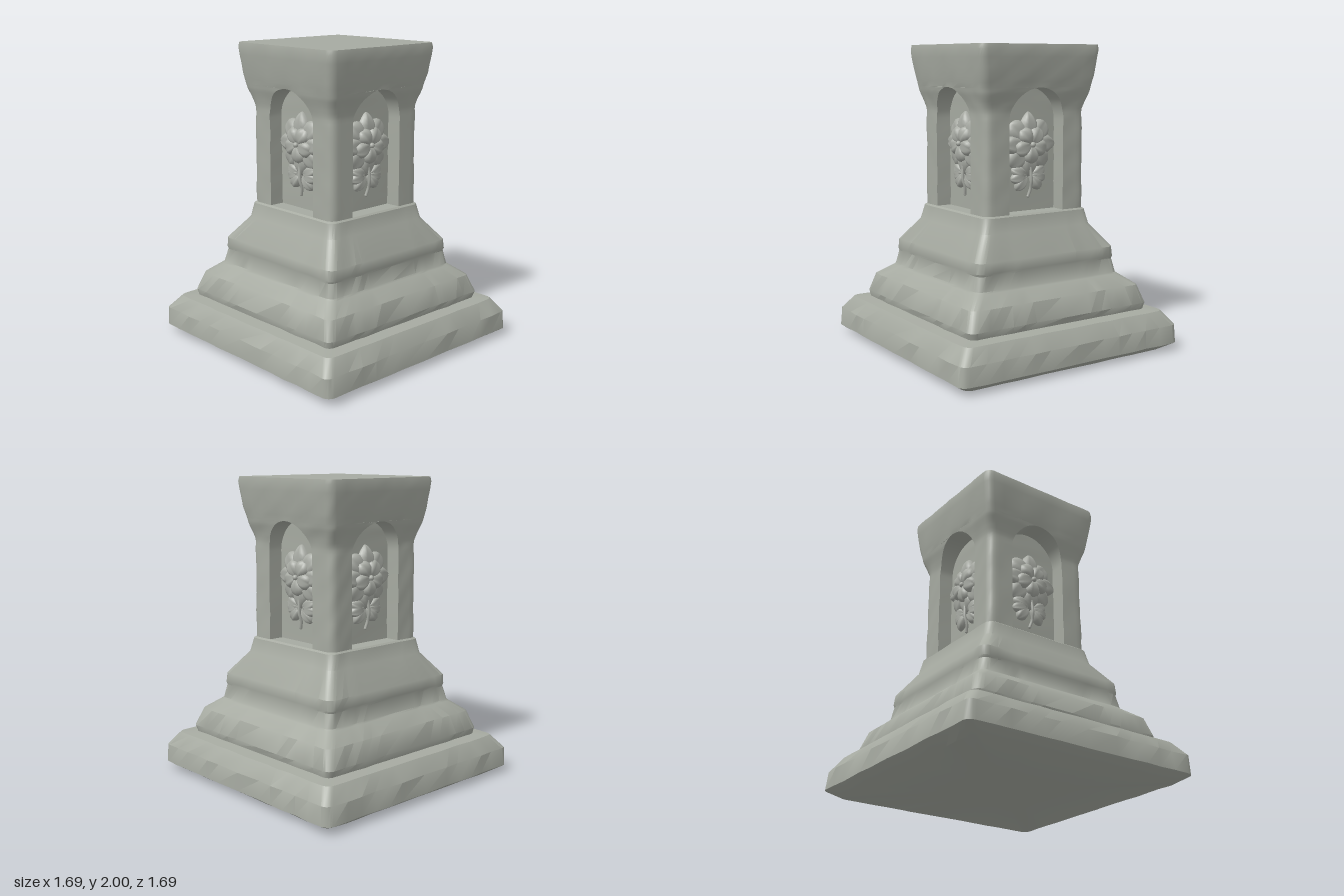
import * as THREE from 'three';
import { toCreasedNormals, mergeVertices } from 'three/addons/utils/BufferGeometryUtils.js';

const stone = new THREE.MeshStandardMaterial({ color: 0xa6aaa1 });
const carving = new THREE.MeshStandardMaterial({ color: 0xa9aca5 });

const NICHE = { w: 0.21, floor: 0.935, spring: 1.52, back: 0.285 };

// Half width of the square body at each height: [y, half width]
const foot = [[0, 0.76], [0.05, 0.84], [0.17, 0.832], [0.26, 0.765], [0.268, 0.68], [0.31, 0.69],
  [0.43, 0.65], [0.5, 0.56], [0.51, 0.55], [0.6, 0.53], [0.615, 0.535], [0.68, 0.53],
  [0.83, 0.42], [0.925, 0.4], [0.935, 0.387]];
const shaft = [[0.935, 0.387], [1.58, 0.385], [1.64, 0.4], [1.7, 0.42], [1.8, 0.44], [1.92, 0.456], [1.97, 0.46], [2, 0.455]];

function halfWidth(y) {
  const i = Math.max(1, shaft.findIndex(p => p[0] >= y));
  const [y0, h0] = shaft[i - 1], [y1, h1] = shaft[i];
  return h0 + (h1 - h0) * (y - y0) / (y1 - y0);
}

// Rows of the body: y, half width h, niche half width w, niche back plane
function bodyRows() {
  const rows = foot.map(([y, h]) => ({ y, h, w: NICHE.w, back: h }));
  const niche = (y, w) => rows.push({ y, h: halfWidth(y), w, back: NICHE.back });
  for (let i = 0; i <= 10; i++) niche(NICHE.floor + (NICHE.spring - NICHE.floor) * i / 10, NICHE.w);
  for (let i = 1; i <= 14; i++) {
    const a = i / 14 * Math.PI / 2;
    niche(NICHE.spring + NICHE.w * Math.sin(a), NICHE.w * Math.cos(a));
  }
  for (const y of [1.73, 1.765, 1.8, 1.86, 1.92, 1.97, 2]) {
    rows.push({ y, h: halfWidth(y), w: 0, back: halfWidth(y) });
  }
  return rows;
}

// Rounded square cross-section with a niche notch in each side
function section({ h, w, back }) {
  const r = 0.05, n = 5, quarter = [[0, back], [w, back], [w, h]];
  for (let i = 1; i < n; i++) quarter.push([w + (h - r - w) * i / n, h]);
  for (let i = 0; i <= 4; i++) {
    const a = i / 4 * Math.PI / 2;
    quarter.push([h - r + r * Math.sin(a), h - r + r * Math.cos(a)]);
  }
  for (let i = n - 1; i >= 0; i--) quarter.push([h, w + (h - r - w) * i / n]);
  quarter.push([back, w]);
  const ring = [];
  let turn = quarter;
  for (let q = 0; q < 4; q++) {
    ring.push(...turn);
    turn = turn.map(([x, z]) => [z, -x]);
  }
  return ring;
}

// Slight weathering of the stone
function worn(x, y, z) {
  const s = 1 + 0.005 * Math.sin(17 * x + 9 * y + 2) * Math.sin(19 * z - 7 * y)
    + 0.003 * Math.sin(41 * x + 23 * z + 31 * y);
  return [x * s, y, z * s];
}

function bodyGeometry() {
  const rows = bodyRows(), pos = [], index = [];
  let count = 0;
  for (const row of rows) {
    const ring = section(row);
    count = ring.length;
    for (const [x, z] of ring) pos.push(...worn(x, row.y, z));
  }
  for (let j = 0; j < rows.length - 1; j++) {
    for (let i = 0; i < count; i++) {
      const a = j * count + i, b = j * count + (i + 1) % count;
      index.push(a, b, b + count, a, b + count, a + count);
    }
  }
  // Caps
  const bottom = pos.length / 3, top = bottom + 1, last = (rows.length - 1) * count;
  pos.push(0, 0, 0, 0, 2, 0);
  for (let i = 0; i < count; i++) {
    const k = (i + 1) % count;
    index.push(bottom, k, i, top, last + i, last + k);
  }
  // Drop collapsed triangles
  const p = i => new THREE.Vector3().fromArray(pos, i * 3), kept = [];
  for (let i = 0; i < index.length; i += 3) {
    const t = index.slice(i, i + 3);
    if (new THREE.Triangle(...t.map(p)).getArea() > 1e-8) kept.push(...t);
  }
  const g = new THREE.BufferGeometry();
  g.setAttribute('position', new THREE.Float32BufferAttribute(pos, 3));
  g.setIndex(kept);
  return toCreasedNormals(mergeVertices(g, 1e-5), 0.6);
}

// Domed petal from its root at the origin to a tip on +y, with a centre groove
function petalGeometry(length, width, height, point) {
  const g = new THREE.SphereGeometry(1, 16, 12);
  const p = g.attributes.position;
  for (let i = 0; i < p.count; i++) {
    const x = p.getX(i), y = p.getY(i), z = p.getZ(i);
    const t = (y + 1) / 2;
    const taper = (0.55 + 0.75 * t) * (1 - point * Math.max(0, t - 0.6) * 2);
    const groove = 1 - 0.3 * Math.exp(-x * x * 30);
    p.setXYZ(i, x * width / 2 * taper, t * length, Math.max(z, -0.2) * height * groove);
  }
  g.computeVertexNormals();
  return g;
}

function addPetal(group, name, geometry, x, y, z, angle) {
  const m = new THREE.Mesh(geometry, carving);
  m.name = name;
  m.position.set(x, y, z);
  m.rotation.z = angle;
  group.add(m);
}

// Carved flower with leaves and stem, standing out of the niche back
function carvedFlower() {
  const flower = new THREE.Group();
  const z = NICHE.back, cy = 1.365;
  const pointed = petalGeometry(0.21, 0.14, 0.055, 0.75);
  const round = petalGeometry(0.195, 0.145, 0.05, 0.1);
  const inner = petalGeometry(0.125, 0.115, 0.05, 0.2);
  const leaf = petalGeometry(0.125, 0.085, 0.045, 0.4);

  for (let i = 0; i < 8; i++) {
    addPetal(flower, 'outerPetal', i % 2 ? round : pointed, 0, cy, z, i * Math.PI / 4);
  }
  for (let i = 0; i < 5; i++) {
    addPetal(flower, 'innerPetal', inner, 0, cy, z + 0.03, Math.PI + i * Math.PI * 2 / 5);
  }
  const bud = new THREE.Mesh(new THREE.SphereGeometry(0.018, 12, 8), carving);
  bud.name = 'flowerCentre';
  bud.position.set(0, cy, z + 0.06);
  flower.add(bud);

  // Lobed leaves either side of the stem
  for (const s of [-1, 1]) {
    for (const a of [1.2, 1.75, 2.4]) addPetal(flower, 'leaf', leaf, s * 0.012, 1.165, z, -s * a);
  }
  const path = new THREE.CatmullRomCurve3([
    new THREE.Vector3(0, 1.22, z + 0.03), new THREE.Vector3(0.006, 1.13, z + 0.035),
    new THREE.Vector3(0.01, 1.08, z + 0.02), new THREE.Vector3(-0.004, 1.03, z + 0.012)]);
  const stem = new THREE.Mesh(new THREE.TubeGeometry(path, 12, 0.01, 8), carving);
  stem.name = 'stem';
  flower.add(stem);
  const end = new THREE.Mesh(new THREE.SphereGeometry(0.0105, 8, 6), carving);
  end.name = 'stemEnd';
  end.position.set(-0.004, 1.03, z + 0.012);
  flower.add(end);
  return flower;
}

export function createModel() {
  const model = new THREE.Group();
  model.name = 'stonePedestal';

  const body = new THREE.Mesh(bodyGeometry(), stone);
  body.name = 'pedestalBody';
  model.add(body);

  // One flower in each of the four niches
  ['front', 'left', 'back', 'right'].forEach((side, i) => {
    const flower = carvedFlower();
    flower.name = side + 'Flower';
    flower.rotation.y = i * Math.PI / 2;
    model.add(flower);
  });
  return model;
}
